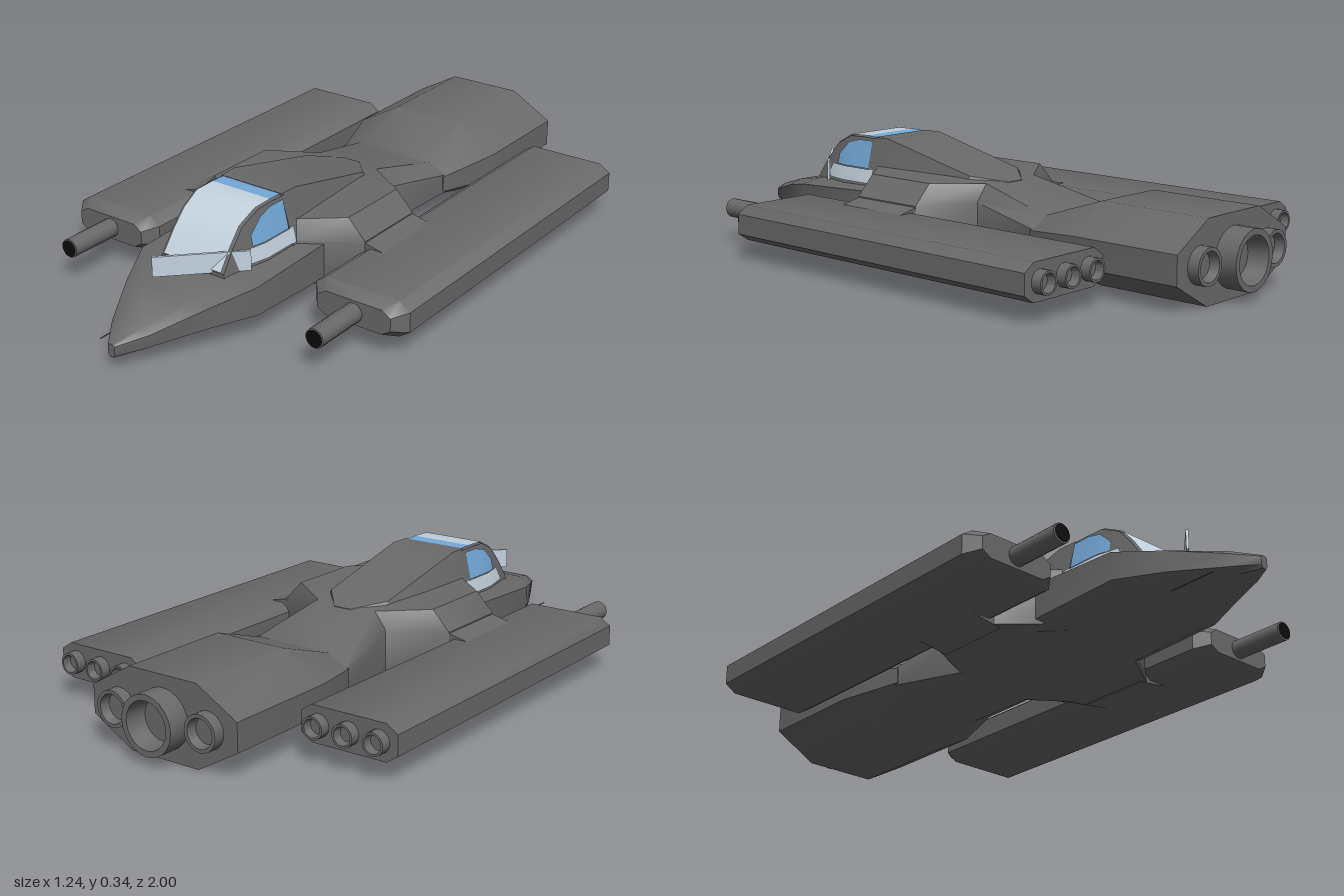
import * as THREE from 'three';
import { toCreasedNormals } from 'three/addons/utils/BufferGeometryUtils.js';

export function createModel() {
  const model = new THREE.Group();
  const mat = (name, color, side = THREE.FrontSide) => {
    const m = new THREE.MeshStandardMaterial({ color, side });
    m.name = name;
    return m;
  };
  const grey = mat('hull grey', 0x696969);
  const silver = mat('pale glass', 0xc3d2de, THREE.DoubleSide);
  const blue = mat('blue glass', 0x74a9d8, THREE.DoubleSide);
  const black = mat('bore black', 0x0c0c0c);

  const add = (name, geometry, material, parent = model) => {
    const mesh = new THREE.Mesh(geometry, material);
    mesh.name = name;
    parent.add(mesh);
    return mesh;
  };
  const build = (positions, index, crease) => {
    const g = new THREE.BufferGeometry();
    g.setAttribute('position', new THREE.Float32BufferAttribute(positions, 3));
    g.setIndex(index);
    g.computeVertexNormals();
    return toCreasedNormals(g, crease);
  };

  // Skin over mirrored half sections, ordered from front to back: [z, [x, y] from top to bottom]
  const loft = (sections, crease = 0.55) => {
    const pos = [], idx = [];
    const n = sections[0][1].length * 2;
    for (const [z, half] of sections) {
      for (const [x, y] of half) pos.push(x, y, z);
      for (const [x, y] of [...half].reverse()) pos.push(-x, y, z);
    }
    for (let i = 0; i < sections.length - 1; i++) {
      for (let j = 0; j < n; j++) {
        const k = (j + 1) % n;
        const a = i * n + j, b = i * n + k, c = a + n, d = b + n;
        idx.push(a, b, c, b, d, c);
      }
    }
    const last = (sections.length - 1) * n;
    for (let j = 1; j < n - 1; j++) {
      idx.push(0, j + 1, j, last, last + j, last + j + 1);
    }
    return build(pos, idx, crease);
  };

  // Surface between two rows of points
  const ribbon = (rowA, rowB) => {
    const idx = [], n = rowA.length;
    for (let i = 0; i < n - 1; i++) idx.push(i, n + i, i + 1, i + 1, n + i, n + i + 1);
    return build([...rowA, ...rowB].flat(), idx, 0.6);
  };

  // Eight-sided half section: half width, bottom, top, chamfer
  const oct = (w, y0, y1, cx, cy) => [[w - cx, y1], [w, y1 - cy], [w, y0 + cy], [w - cx, y0]];

  // Hollow nozzle pointing backwards
  const nozzle = (name, x, y, z, r, len, parent = model) => {
    const profile = [[r, -0.02], [r, len], [r * 0.8, len], [r * 0.7, 0.006], [0, 0.006]]
      .map(([a, b]) => new THREE.Vector2(a, b));
    const g = toCreasedNormals(new THREE.LatheGeometry(profile, 20), 0.6);
    const m = add(name, g, grey, parent);
    m.rotation.x = -Math.PI / 2;
    m.position.set(x, y, z);
  };

  // Nose
  add('nose', loft([
    [1.0, [[0.006, 0.085], [0.012, 0.08], [0.012, 0.055], [0.006, 0.045]]],
    [0.92, [[0.045, 0.115], [0.07, 0.1], [0.065, 0.06], [0.035, 0.045]]],
    [0.77, [[0.1, 0.155], [0.15, 0.14], [0.145, 0.075], [0.09, 0.045]]],
    [0.63, [[0.14, 0.18], [0.215, 0.168], [0.215, 0.08], [0.15, 0.045]]],
    [0.3, [[0.15, 0.185], [0.218, 0.182], [0.218, 0.07], [0.17, 0.045]]],
  ], 0.7), grey);

  // Middle hull, swelling at the shoulders and narrowing to a waist
  add('middleHull', loft([
    [0.37, [[0.11, 0.25], [0.15, 0.19], [0.15, 0.06], [0.13, 0.045]]],
    [0.25, [[0.255, 0.25], [0.315, 0.188], [0.315, 0.048], [0.25, 0.042]]],
    [0.0, [[0.255, 0.25], [0.315, 0.188], [0.315, 0.048], [0.25, 0.042]]],
    [-0.1, [[0.11, 0.243], [0.15, 0.19], [0.15, 0.06], [0.12, 0.045]]],
    [-0.37, [[0.14, 0.18], [0.2, 0.15], [0.2, 0.09], [0.14, 0.06]]],
  ], 0.75), grey);

  // Raised spine behind the cockpit
  add('spine', loft([
    [0.385, [[0.113, 0.338], [0.155, 0.18]]],
    [0.32, [[0.116, 0.338], [0.155, 0.18]]],
    [-0.03, [[0.11, 0.258], [0.14, 0.18]]],
    [-0.12, [[0.03, 0.24], [0.1, 0.18]]],
  ]), grey);

  // Rear engine block
  add('engineBlock', loft([
    [-0.355, oct(0.2, 0.06, 0.182, 0.07, 0.035)],
    [-0.56, oct(0.262, 0.003, 0.25, 0.14, 0.08)],
    [-0.93, oct(0.262, 0.003, 0.25, 0.14, 0.08)],
  ]), grey);
  nozzle('mainNozzle', 0, 0.123, -0.93, 0.09, 0.07);

  // Canopy frame and glass, following one side profile [z, y]
  const profile = [[0.36, 0.332], [0.43, 0.334], [0.5, 0.332], [0.565, 0.3], [0.61, 0.25], [0.655, 0.188]];
  const taper = z => 1 - Math.max(0, z - 0.5) * 1.5;
  const halfWidth = (z, y) => (0.15 - 0.035 * (y - 0.185) / 0.15) * taper(z);
  add('canopyFrame', loft([...profile].reverse().map(([z, y]) =>
    [z, [[halfWidth(z, y), y], [halfWidth(z, 0.17), 0.17]]])), grey);
  const pane = pts => ribbon(
    pts.map(([z, y]) => [-halfWidth(z, y) + 0.008, y + 0.004, z + 0.003]),
    pts.map(([z, y]) => [halfWidth(z, y) - 0.008, y + 0.004, z + 0.003]));
  add('roofGlass', pane(profile.slice(0, 2)), blue);
  add('windscreen', pane(profile.slice(1)), silver);

  for (const s of [1, -1]) {
    const label = s > 0 ? 'left' : 'right';
    const side = (z, y) => [s * (halfWidth(z, y) + 0.004), y, z];
    const zs = [0.39, 0.45, 0.5, 0.545];
    const tops = [0.325, 0.325, 0.312, 0.27];
    add(label + 'UpperSideGlass', ribbon(
      zs.map((z, i) => side(z, tops[i])), zs.map(z => side(z, 0.237))), blue);
    add(label + 'LowerSideGlass', ribbon(
      [0.37, 0.5, 0.575].map(z => side(z, 0.235)), [0.37, 0.5, 0.6].map(z => side(z, 0.19))), silver);

    // Stub wing, thinning towards the pod
    const stub = loft([
      [0.25, [[0.4, 0.165], [0.4, 0.06]]],
      [0.0, [[0.4, 0.165], [0.4, 0.06]]],
    ]);
    const p = stub.attributes.position;
    for (let i = 0; i < p.count; i++) {
      if (p.getX(i) < 0) p.setXYZ(i, 0.29, p.getY(i) > 0.1 ? 0.19 : 0.043, p.getZ(i));
    }
    if (s < 0) {
      // Mirrored by a half turn about the wing's own middle
      stub.translate(0, 0, -0.125);
      stub.rotateY(Math.PI);
      stub.translate(0, 0, 0.125);
    }
    stub.computeVertexNormals();
    add(label + 'StubWing', stub, grey);

    nozzle(label + 'OuterNozzle', s * 0.16, 0.126, -0.93, 0.055, 0.035);

    // Side pod with gun and three nozzles
    const pod = new THREE.Group();
    pod.name = label + 'Pod';
    pod.position.set(s * 0.458, 0.115, 0);
    model.add(pod);
    add('podBody', loft([
      [0.51, oct(0.125, -0.038, 0.038, 0.03, 0.018)],
      [0.465, oct(0.16, -0.055, 0.055, 0.036, 0.024)],
      [-0.705, oct(0.16, -0.055, 0.055, 0.036, 0.024)],
    ], 0.65), grey, pod);
    const barrel = add('gunBarrel', new THREE.CylinderGeometry(0.03, 0.03, 0.2, 18), grey, pod);
    barrel.rotation.x = Math.PI / 2;
    barrel.position.z = 0.59;
    add('gunBore', new THREE.CircleGeometry(0.027, 18), black, pod).position.z = 0.692;
    for (const x of [-0.1, 0, 0.1]) nozzle('podNozzle', x, 0, -0.705, 0.034, 0.032, pod);
  }

  // Slanted deflector pane ahead of the windscreen
  const deflector = add('deflectorPane', new THREE.BoxGeometry(0.28, 0.062, 0.008), silver);
  deflector.position.set(0.05, 0.212, 0.673);
  deflector.rotation.y = Math.PI / 4;

  // Thin probe below the nose
  const probe = add('probe', new THREE.CylinderGeometry(0.002, 0.002, 0.15, 6), grey);
  probe.rotation.x = Math.PI / 2;
  probe.position.set(-0.12, 0.026, 0.845);

  return model;
}
